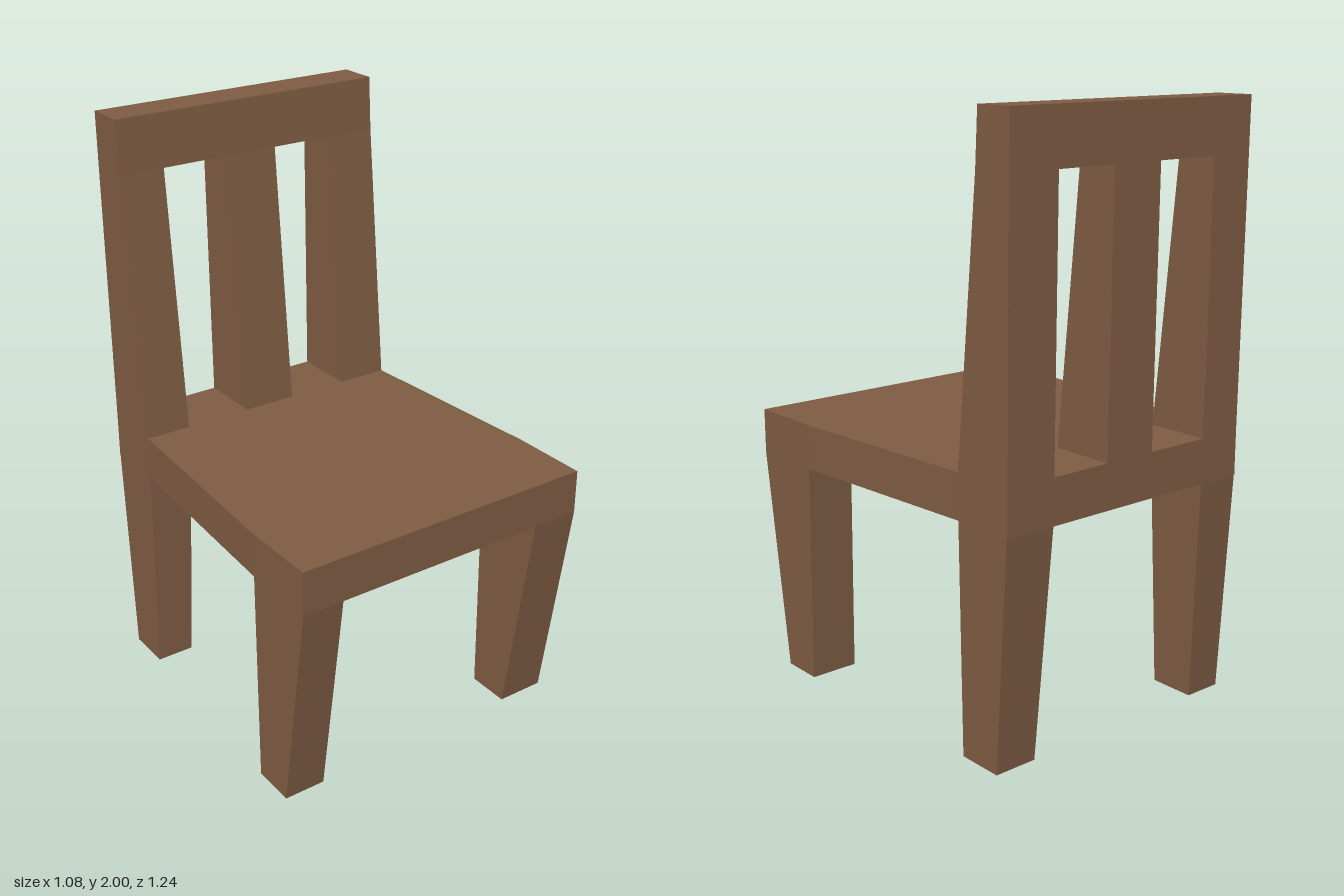
import * as THREE from 'three';

// Box whose bottom and top rectangles may differ; each is [x0, x1, zBack, zFront]
function taperedBox(y0, y1, bottom, top) {
  const geo = new THREE.BoxGeometry(1, 1, 1);
  const p = geo.attributes.position;
  for (let i = 0; i < p.count; i++) {
    const upper = p.getY(i) > 0;
    const r = upper ? top : bottom;
    p.setXYZ(i, p.getX(i) < 0 ? r[0] : r[1], upper ? y1 : y0, p.getZ(i) < 0 ? r[2] : r[3]);
  }
  geo.computeVertexNormals();
  return geo;
}

export function createModel() {
  const chair = new THREE.Group();
  chair.name = 'chair';
  const wood = new THREE.MeshStandardMaterial({ color: 0x7d5b42, flatShading: true });
  wood.name = 'brown wood';

  const add = (name, geo) => {
    const mesh = new THREE.Mesh(geo, wood);
    mesh.name = name;
    chair.add(mesh);
    return mesh;
  };

  // Seat: outline drawn in x / -z, then laid flat; narrows towards the back
  const outline = [
    [-0.54, 0.62], [0.54, 0.62], [0.54, 0.34], [0.493, -0.388],
    [0.493, -0.612], [-0.495, -0.612], [-0.495, -0.388], [-0.54, 0.34],
  ];
  const shape = new THREE.Shape(outline.map(([x, z]) => new THREE.Vector2(x, -z)));
  const seatGeo = new THREE.ExtrudeGeometry(shape, { depth: 0.152, bevelEnabled: false });
  seatGeo.rotateX(-Math.PI / 2);
  seatGeo.translate(0, 0.768, 0);
  add('seat', seatGeo);

  // Front legs: straight sides, front face slanting inwards to the floor
  for (const [name, x0, x1] of [['frontLegRight', -0.54, -0.395], ['frontLegLeft', 0.37, 0.54]]) {
    add(name, taperedBox(0.01, 0.768, [x0, x1, 0.36, 0.51], [x0, x1, 0.35, 0.62]));
  }

  // Back legs: taper on the inside, front and back
  add('backLegRight', taperedBox(0, 0.768,
    [-0.495, -0.36, -0.565, -0.405], [-0.495, -0.335, -0.61, -0.388]));
  add('backLegLeft', taperedBox(0, 0.768,
    [0.34, 0.493, -0.565, -0.405], [0.31, 0.493, -0.61, -0.388]));

  // Backrest: three uprights thinning upwards, joined by a top rail
  const uprights = [
    ['backPostRight', -0.495, -0.335], ['backSlat', -0.1, 0.092], ['backPostLeft', 0.31, 0.493],
  ];
  for (const [name, x0, x1] of uprights) {
    add(name, taperedBox(0.92, 1.82, [x0, x1, -0.612, -0.388], [x0, x1, -0.619, -0.474]));
  }
  add('topRail', taperedBox(1.82, 2,
    [-0.495, 0.493, -0.619, -0.474], [-0.495, 0.493, -0.62, -0.484]));

  return chair;
}
